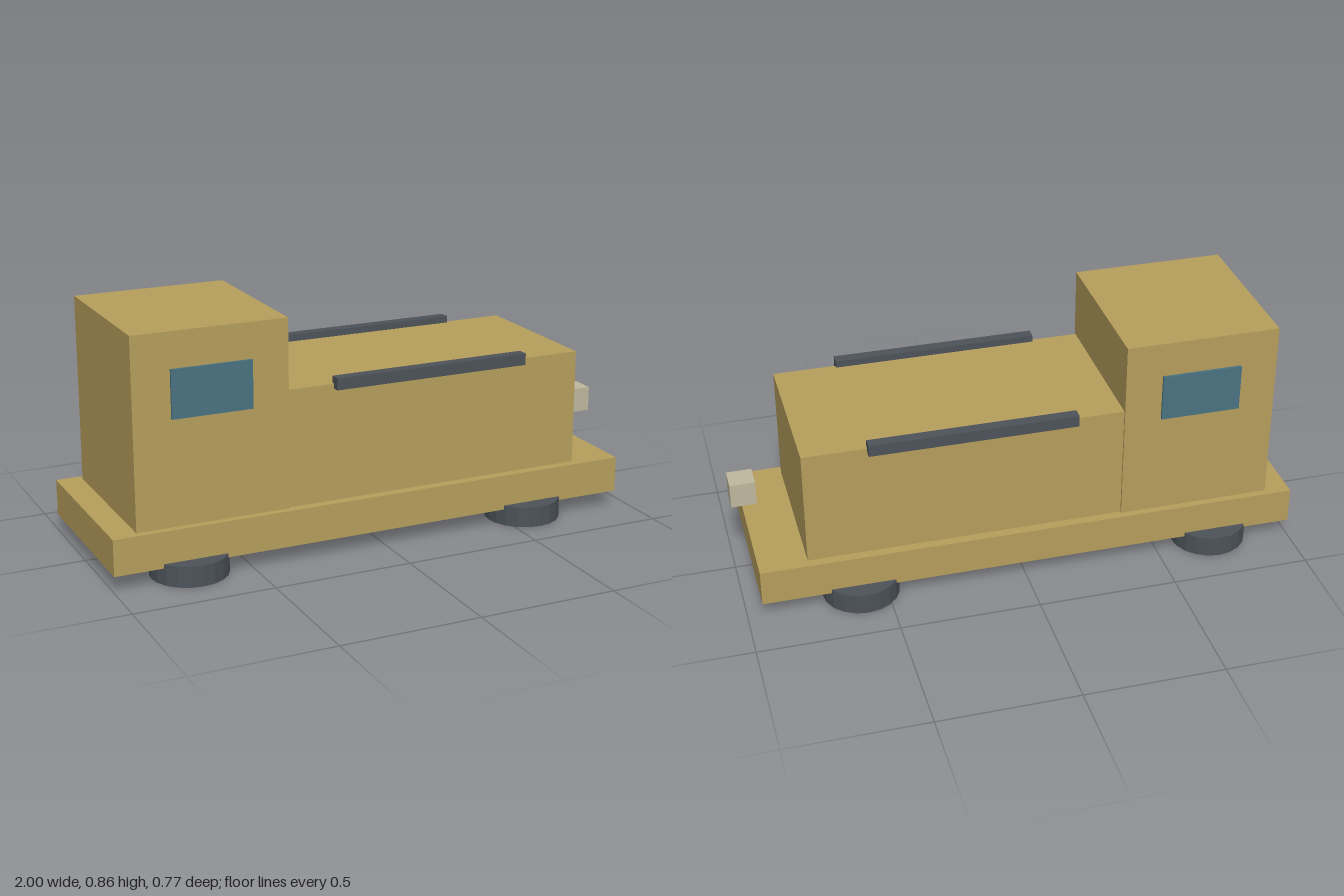
import * as THREE from 'three';

const paint = (name, color) => {
  const m = new THREE.MeshStandardMaterial({ color });
  m.name = name;
  return m;
};

export function createModel() {
  const ochre = paint('ochre body', 0xb69e5c);
  const dark = paint('dark steel', 0x4c5359);
  const glass = paint('blue glass', 0x4a7382);
  const pale = paint('pale lamp', 0xc0b89f);

  const model = new THREE.Group();
  model.name = 'locomotive';

  const add = (name, geometry, material, x, y, z) => {
    const mesh = new THREE.Mesh(geometry, material);
    mesh.name = name;
    mesh.position.set(x, y, z);
    model.add(mesh);
  };

  // box given by its lower and upper limits on each axis
  const box = (name, material, [x0, x1], [y0, y1], [z0, z1]) =>
    add(name, new THREE.BoxGeometry(x1 - x0, y1 - y0, z1 - z0), material,
      (x0 + x1) / 2, (y0 + y1) / 2, (z0 + z1) / 2);

  // main body
  box('chassis', ochre, [-1, 0.947], [0.06, 0.19], [-0.322, 0.322]);
  box('cab', ochre, [-0.91, -0.358], [0.19, 0.863], [-0.296, 0.296]);
  box('hood', ochre, [-0.358, 0.776], [0.19, 0.61], [-0.288, 0.288]);

  // lamp ahead of the hood
  box('headlamp', pale, [0.908, 0.998], [0.29, 0.38], [-0.045, 0.045]);

  // faceted wheel discs, lying flat under the chassis
  const wheel = new THREE.CylinderGeometry(0.137, 0.137, 0.075, 20).toNonIndexed();
  wheel.computeVertexNormals();

  for (const [side, s] of [['left', 1], ['right', -1]]) {
    const span = (a, b) => (s > 0 ? [a, b] : [-b, -a]);
    box(side + 'Window', glass, [-0.777, -0.49], [0.567, 0.737], span(0.297, 0.306));
    box(side + 'Handrail', dark, [-0.187, 0.55], [0.593, 0.635], span(0.274, 0.314));
    add(side + 'CabWheel', wheel, dark, -0.712, 0.0375, s * 0.25);
    add(side + 'HoodWheel', wheel, dark, 0.589, 0.0375, s * 0.25);
  }
  return model;
}
